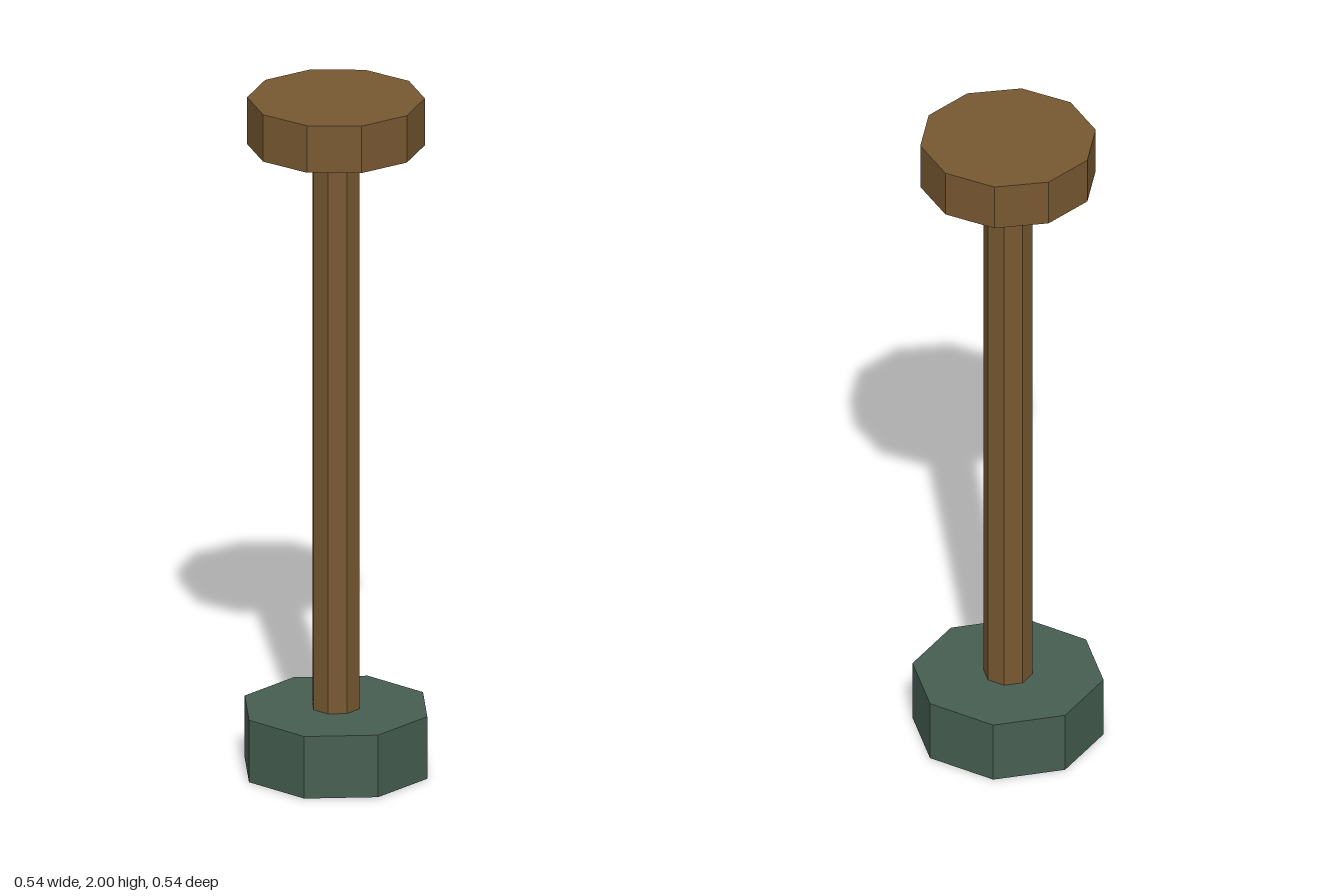
import * as THREE from 'three';

export function createModel() {
  const group = new THREE.Group();
  const wood = new THREE.MeshStandardMaterial({ name: 'brown wood', color: 0x775831, flatShading: true });
  const green = new THREE.MeshStandardMaterial({ name: 'dark green', color: 0x465e51, flatShading: true });

  // Upright prism from y0 to y1, with a corner facing the front
  function prism(name, radius, y0, y1, sides, material) {
    const mesh = new THREE.Mesh(new THREE.CylinderGeometry(radius, radius, y1 - y0, sides), material);
    mesh.name = name;
    mesh.position.y = (y0 + y1) / 2;
    group.add(mesh);
  }

  prism('base', 0.272, 0, 0.185, 8, green);
  prism('shaft', 0.07, 0.185, 1.86, 8, wood);
  prism('cap', 0.25, 1.86, 2, 10, wood);

  return group;
}
